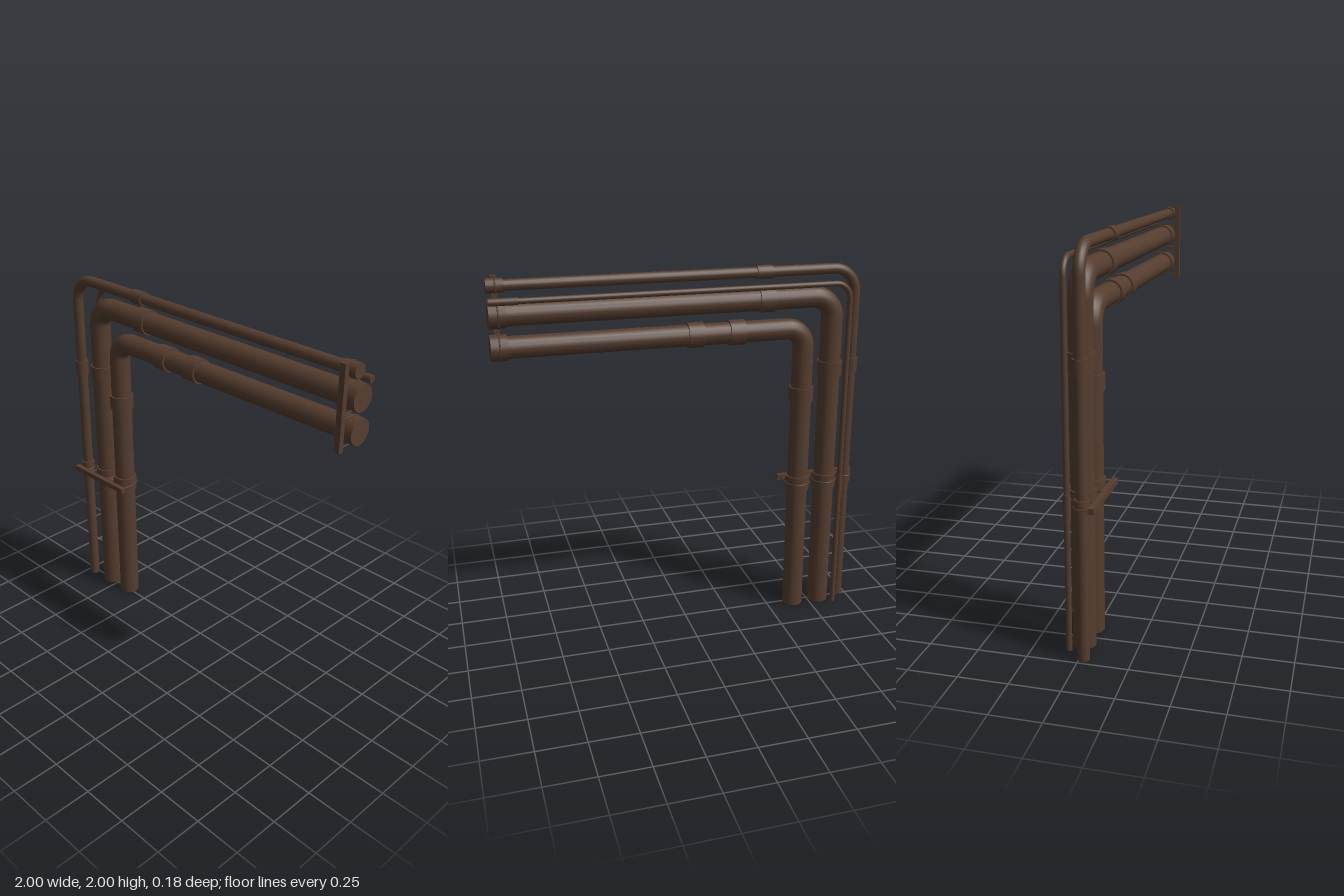
import * as THREE from 'three';

export function createModel() {
  const root = new THREE.Group();
  const brown = new THREE.MeshStandardMaterial({ color: 0x553d2f });
  brown.name = 'brown metal';

  function add(parent, name, geometry, x, y, z) {
    const mesh = new THREE.Mesh(geometry, brown);
    mesh.name = name;
    mesh.position.set(x, y, z);
    parent.add(mesh);
    return mesh;
  }

  // Straight round pieces along y or along x
  const upright = (parent, name, r, x, y0, y1, z) =>
    add(parent, name, new THREE.CylinderGeometry(r, r, y1 - y0, 16), x, (y0 + y1) / 2, z);
  const level = (parent, name, r, x0, x1, y, z) =>
    add(parent, name, new THREE.CylinderGeometry(r, r, x1 - x0, 16).rotateZ(Math.PI / 2), (x0 + x1) / 2, y, z);

  // U-shaped bolt wrapped behind a pipe, its legs reaching forward to the rail
  function uBolt(parent, r, x, y, z, vertical) {
    const pts = [new THREE.Vector3(r, 0, 0.07 - z)];
    for (let i = 0; i <= 12; i++) {
      const a = (Math.PI * i) / 12;
      pts.push(new THREE.Vector3(r * Math.cos(a), 0, -r * Math.sin(a)));
    }
    pts.push(new THREE.Vector3(-r, 0, 0.07 - z));
    const path = new THREE.CurvePath();
    for (let i = 1; i < pts.length; i++) path.add(new THREE.LineCurve3(pts[i - 1], pts[i]));
    const bolt = add(parent, 'uBolt', new THREE.TubeGeometry(path, 40, 0.004, 6), x, y, z);
    if (!vertical) bolt.rotation.z = Math.PI / 2;
  }

  // x: upright run, y: level run, bend: elbow radius, up/along: sleeve spans
  const pipes = [
    { name: 'outerPipe', x: -0.957, y: 1.958, z: 0.022, r: 0.029, bend: 0.13, sleeve: 0.037, bolt: 0.038,
      up: [[0.73, 0.81], [1.385, 1.465]], along: [[-0.475, -0.39], [0.915, 1]] },
    { name: 'thinPipe', x: -0.888, y: 1.895, z: -0.072, r: 0.015, bend: 0.085, sleeve: 0.019,
      up: [[0.67, 0.8]], along: [[0.855, 1]] },
    { name: 'widePipe', x: -0.815, y: 1.82, z: -0.015, r: 0.058, bend: 0.115, sleeve: 0.067, bolt: 0.069,
      up: [[0.73, 0.81], [1.385, 1.465]], along: [[-0.475, -0.39], [0.915, 1]] },
    { name: 'innerPipe', x: -0.655, y: 1.656, z: -0.015, r: 0.057, bend: 0.1, sleeve: 0.067, bolt: 0.069,
      up: [[0.73, 0.81], [1.25, 1.33]], along: [[-0.315, -0.23], [-0.09, -0.005], [0.915, 1]] },
  ];

  for (const p of pipes) {
    const g = new THREE.Group();
    g.name = p.name;
    root.add(g);
    upright(g, 'uprightRun', p.r, p.x, 0, p.y - p.bend, p.z);
    level(g, 'levelRun', p.r, p.x + p.bend, 0.995, p.y, p.z);
    const elbow = new THREE.TorusGeometry(p.bend, p.r, 16, 10, Math.PI / 2).rotateZ(Math.PI / 2);
    add(g, 'elbow', elbow, p.x + p.bend, p.y - p.bend, p.z);
    for (const [a, b] of p.up) upright(g, 'sleeve', p.sleeve, p.x, a, b, p.z);
    for (const [a, b] of p.along) level(g, 'sleeve', p.sleeve, a, b, p.y, p.z);
    if (p.bolt) {
      uBolt(g, p.bolt, p.x, 0.77, p.z, true);
      uBolt(g, p.bolt, 0.955, p.y, p.z, false);
    }
  }

  // Mounting rails in front of the pipes
  add(root, 'lowerRail', new THREE.BoxGeometry(0.435, 0.03, 0.028), -0.7825, 0.77, 0.076);
  add(root, 'endRail', new THREE.BoxGeometry(0.03, 0.43, 0.028), 0.955, 1.785, 0.076);

  return root;
}
